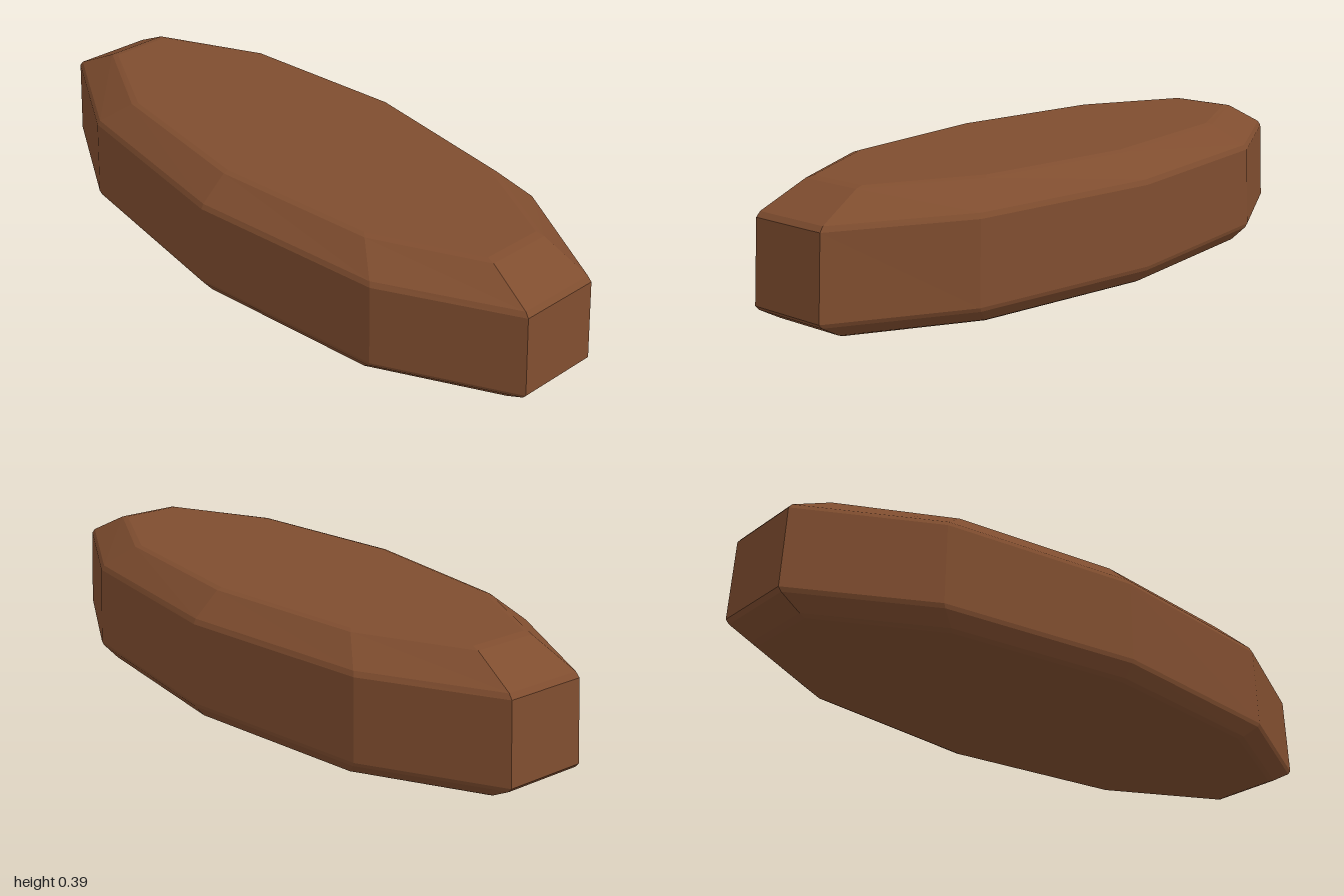
import * as THREE from 'three';

// Half-width, half-depth and height of each ten-sided ring, bottom to top
const RINGS = [
  [0.905, 0.365, 0], [0.925, 0.38, 0.007],
  [0.99, 0.41, 0.043], [1, 0.414, 0.055],
  [0.986, 0.409, 0.296], [0.974, 0.402, 0.311],
  [0.835, 0.324, 0.381], [0.81, 0.308, 0.386],
];
const SIDES = 10;

function ringGeometry(rings) {
  const pos = [];
  const point = ([rx, rz, y], i) => {
    const a = Math.PI / 2 + (i % SIDES) * 2 * Math.PI / SIDES;
    // the flat ends of the decagon reach the full half-width
    return [rx * Math.cos(a) / Math.cos(Math.PI / SIDES), y, rz * Math.sin(a)];
  };
  const tri = (a, b, c) => pos.push(...a, ...b, ...c);
  const bottom = rings[0], top = rings[rings.length - 1];
  for (let i = 0; i < SIDES; i++) {
    // side walls and chamfers
    for (let k = 0; k < rings.length - 1; k++) {
      const a = point(rings[k], i), b = point(rings[k], i + 1);
      const c = point(rings[k + 1], i + 1), d = point(rings[k + 1], i);
      tri(a, c, b);
      tri(a, d, c);
    }
    // flat caps
    tri([0, bottom[2], 0], point(bottom, i), point(bottom, i + 1));
    tri([0, top[2], 0], point(top, i + 1), point(top, i));
  }
  const geo = new THREE.BufferGeometry();
  geo.setAttribute('position', new THREE.Float32BufferAttribute(pos, 3));
  geo.computeVertexNormals();
  return geo;
}

export function createModel() {
  const model = new THREE.Group();
  model.name = 'chamferedSlab';
  const brown = new THREE.MeshStandardMaterial({ color: 0x7f4d2f });
  brown.name = 'brown';
  const slab = new THREE.Mesh(ringGeometry(RINGS), brown);
  slab.name = 'slab';
  model.add(slab);
  return model;
}
